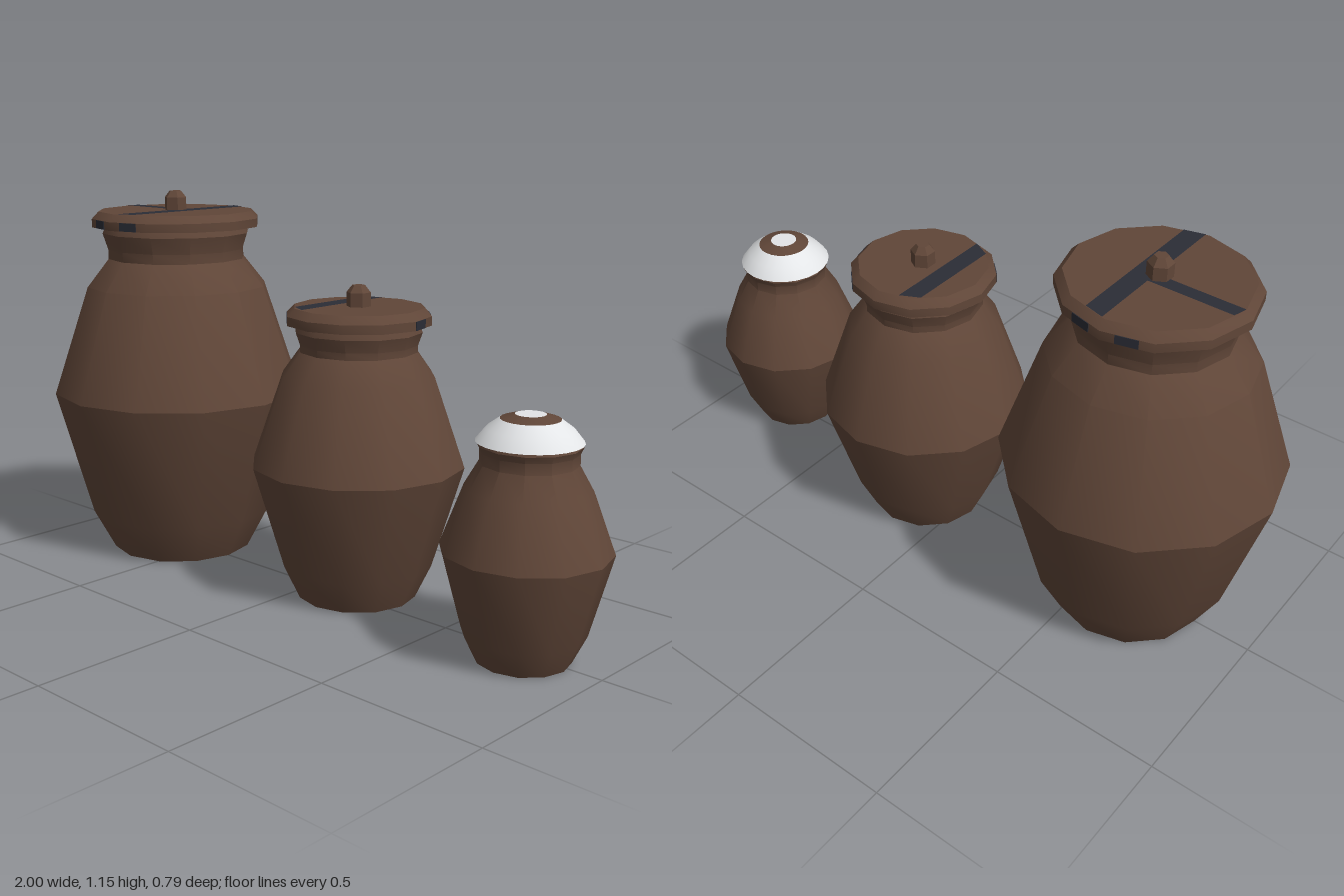
import * as THREE from 'three';
import { toCreasedNormals } from 'three/addons/utils/BufferGeometryUtils.js';

const SIDES = 12;

function material(name, color) {
  const m = new THREE.MeshStandardMaterial({ color });
  m.name = name;
  return m;
}

export function createModel() {
  const brown = material('brown clay', 0x604638);
  const blue = material('dark slate', 0x2b2d36);
  const white = material('white glaze', 0xe6e8ea);

  const add = (group, name, geometry, mat) => {
    const mesh = new THREE.Mesh(geometry, mat);
    mesh.name = name;
    group.add(mesh);
    return mesh;
  };

  // Turned form from [radius, height] pairs, listed bottom to top
  const turned = (points, sides = SIDES, crease = 0.56) => toCreasedNormals(
    new THREE.LatheGeometry(points.map(([r, y]) => new THREE.Vector2(r, y)), sides), crease);

  // Distance to the edge of a twelve-sided lid at sideways offset u
  const lidEdge = (r, u) => {
    const apothem = r * Math.cos(Math.PI / SIDES);
    return Math.min(...[15, 45, 75].map((deg) => {
      const a = THREE.MathUtils.degToRad(deg);
      return (apothem - Math.abs(u) * Math.sin(a)) / Math.cos(a);
    }));
  };

  // Flat painted band on a lid, trimmed to the lid edge
  const band = (r, u0, u1, start) => {
    const e0 = lidEdge(r, u0), e1 = lidEdge(r, u1);
    const shape = new THREE.Shape([
      new THREE.Vector2(u0, start ?? -e0), new THREE.Vector2(u1, start ?? -e1),
      new THREE.Vector2(u1, e1), new THREE.Vector2(u0, e0),
    ]);
    return new THREE.ShapeGeometry(shape).rotateX(-Math.PI / 2);
  };

  // Flat lid with bevelled edge, hexagonal knob and painted rim patches
  const flatLid = (jar, y, r, topR, bands, patches) => {
    const lid = new THREE.Group();
    lid.name = 'lid';
    lid.position.y = y;
    jar.add(lid);
    add(lid, 'lidPlate', turned([[0, 0], [r, 0], [r, 0.026], [topR, 0.048], [0, 0.048]]), brown);
    add(lid, 'knob', turned([[0.035, 0.047], [0.035, 0.088], [0.019, 0.108], [0, 0.108]], 6, 0.5), brown);
    for (const { u0, u1, start, turn = 0 } of bands) {
      const stripe = add(lid, 'lidStripe', band(topR, u0, u1, start), blue);
      stripe.position.y = 0.0495;
      stripe.rotation.y = turn;
    }
    const apothem = r * Math.cos(Math.PI / SIDES);
    for (const [deg, shift] of patches) {
      const plate = new THREE.BoxGeometry(0.06, 0.025, 0.004);
      plate.translate(shift, 0.013, apothem);
      plate.rotateY(THREE.MathUtils.degToRad(deg));
      add(lid, 'rimPatch', plate, blue);
    }
  };

  const model = new THREE.Group();
  model.name = 'jars';

  const makeJar = (name, x, z, profile) => {
    const jar = new THREE.Group();
    jar.name = name;
    jar.position.set(x, 0, z);
    model.add(jar);
    add(jar, 'body', turned([[0, 0], ...profile, [0, profile.at(-1)[1]]]), brown);
    return jar;
  };

  // Large jar
  const large = makeJar('largeJar', -0.605, 0, [
    [0.222, 0], [0.288, 0.125], [0.396, 0.52], [0.284, 0.854],
    [0.216, 0.94], [0.216, 0.97], [0.232, 1.02], [0.222, 1.045]]);
  flatLid(large, 1.04, 0.264, 0.243,
    [{ u0: 0.01, u1: 0.067 }, { u0: 0, u1: 0.04, start: -0.01, turn: Math.PI / 2 }],
    [[-15, 0], [15, 0], [165, 0], [195, 0]]);

  // Medium jar
  const medium = makeJar('mediumJar', 0.133, -0.04, [
    [0.175, 0], [0.222, 0.1], [0.312, 0.4], [0.222, 0.66],
    [0.172, 0.73], [0.172, 0.75], [0.185, 0.787], [0.176, 0.812]]);
  flatLid(medium, 0.808, 0.21, 0.188,
    [{ u0: -0.113, u1: -0.058 }],
    [[105, -0.022], [135, 0.022], [-45, -0.022]]);

  // Small jar with a glazed domed cap
  const small = makeJar('smallJar', 0.773, 0.023, [
    [0.128, 0], [0.165, 0.075], [0.226, 0.3], [0.165, 0.465],
    [0.128, 0.53], [0.128, 0.56], [0.136, 0.578], [0.13, 0.592]]);
  add(small, 'capSkirt', turned([[0, 0.586], [0.139, 0.586], [0.112, 0.62], [0.078, 0.645]], 24), white);
  add(small, 'capRing', turned([[0.078, 0.645], [0.04, 0.657]], 24), brown);
  add(small, 'capCentre', turned([[0.04, 0.657], [0, 0.657]], 24), white);

  return model;
}
